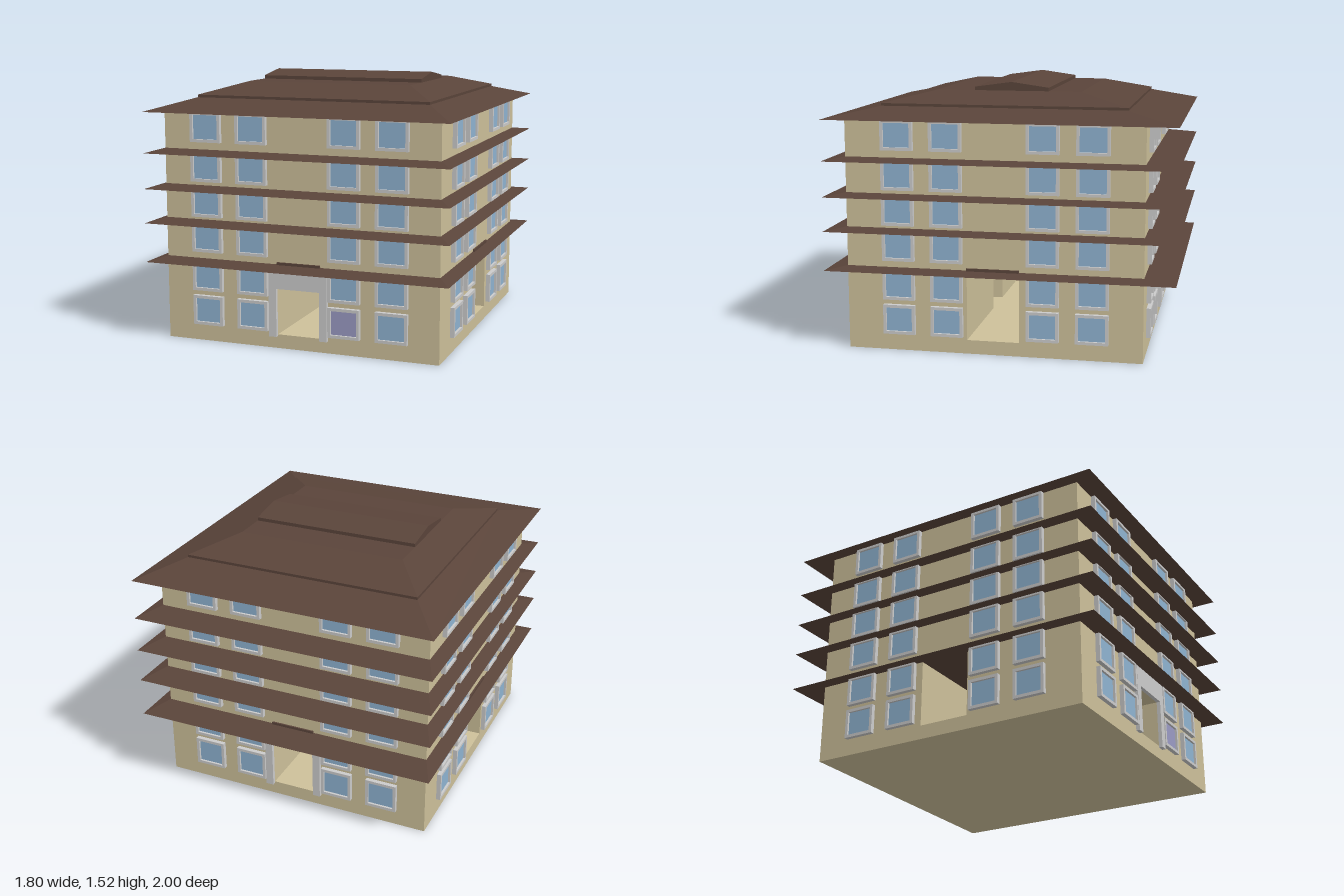
import * as THREE from 'three';

const mat = (color) => new THREE.MeshStandardMaterial({ color, flatShading: true });

export function createModel() {
  const root = new THREE.Group();
  const wall = mat(0xcdc09a), roof = mat(0x5a443a), glass = mat(0x8fb3d1);
  const tinted = mat(0x9a9ac4), grey = mat(0xcccccc);
  const X = 0.82, ZF = 0.88, ZB = -0.82; // wall planes

  const add = (name, geometry, material, parent = root) => {
    const mesh = new THREE.Mesh(geometry, material);
    mesh.name = name;
    parent.add(mesh);
    return mesh;
  };
  const box = (name, x0, x1, y0, y1, z0, z1, material) =>
    add(name, new THREE.BoxGeometry(x1 - x0, y1 - y0, z1 - z0), material)
      .position.set((x0 + x1) / 2, (y0 + y1) / 2, (z0 + z1) / 2);

  // Closed solid through stacked rectangles [halfWidth, zBack, zFront, y]
  const loft = (name, rings, material) => {
    const pts = [], index = [];
    rings.forEach(([x, zb, zf, y]) => pts.push(-x, y, zf, x, y, zf, x, y, zb, -x, y, zb));
    for (let r = 0; r < rings.length - 1; r++) {
      for (let i = 0; i < 4; i++) {
        const a = r * 4 + i, b = r * 4 + (i + 1) % 4;
        index.push(a, b, b + 4, a, b + 4, a + 4);
      }
    }
    const t = (rings.length - 1) * 4;
    index.push(0, 2, 1, 0, 3, 2, t, t + 1, t + 2, t, t + 2, t + 3);
    let g = new THREE.BufferGeometry();
    g.setAttribute('position', new THREE.Float32BufferAttribute(pts, 3));
    g.setIndex(index);
    g = g.toNonIndexed();
    g.computeVertexNormals();
    add(name, g, material);
  };

  // Ground storey: base and four corner blocks leave two crossing passages
  box('base', -X, X, 0, 0.08, ZB, ZF, wall);
  for (const [z0, z1] of [[0.18, ZF], [ZB, -0.12]]) {
    box('cornerBlock', -X, -0.13, 0.08, 0.475, z0, z1, wall);
    box('cornerBlock', 0.13, X, 0.08, 0.475, z0, z1, wall);
    box('passageLintel', -0.13, 0.13, 0.35, 0.475, z0, z1, wall);
  }
  box('upperStoreys', -X, X, 0.475, 1.335, ZB, ZF, wall);

  // Sloping eaves between storeys
  for (const y of [0.465, 0.692, 0.89, 1.095]) {
    loft('eave', [[0.9, -1, 1, y], [X, ZB, ZF, y + 0.022]], roof);
  }

  // Small caps over the entrances
  box('entranceCap', -0.13, 0.13, 0.47, 0.5, ZB - 0.01, ZF + 0.01, roof);
  box('sideEntranceCap', -X - 0.01, X + 0.01, 0.47, 0.5, -0.12, 0.18, roof);

  // Three-tier roof
  loft('lowerRoof', [[0.9, -1, 1, 1.33], [0.7, -0.71, 0.7, 1.395]], roof);
  loft('middleRoof', [[0.7, -0.71, 0.7, 1.39], [0.7, -0.71, 0.7, 1.41], [0.5, -0.42, 0.42, 1.475]], roof);
  const gable = new THREE.Shape([[-0.2, 1.47], [0.23, 1.47], [0.23, 1.495], [0.015, 1.525], [-0.2, 1.495]]
    .map(([x, y]) => new THREE.Vector2(x, y)));
  const ridge = new THREE.ExtrudeGeometry(gable, { depth: 1, bevelEnabled: false });
  ridge.translate(0, 0, -0.5).rotateY(Math.PI / 2);
  add('ridgeRoof', ridge, roof);

  // Window: grey frame with recessed pane, facing +z
  const rect = (P, w, h) => new P([[-w, -h], [w, -h], [w, h], [-w, h]].map(([x, y]) => new THREE.Vector2(x, y)));
  const frameShape = rect(THREE.Shape, 0.093, 0.086);
  frameShape.holes.push(rect(THREE.Path, 0.076, 0.069));
  const frameGeo = new THREE.ExtrudeGeometry(frameShape, { depth: 0.025, bevelEnabled: false });
  const paneGeo = new THREE.BoxGeometry(0.152, 0.138, 0.012);
  const addWindow = (parent, u, y, pane) => {
    const g = new THREE.Group();
    g.name = 'window';
    g.position.set(u, y, 0);
    add('windowFrame', frameGeo, grey, g);
    add('windowPane', paneGeo, pane, g).position.z = 0.006;
    parent.add(g);
  };

  // Portal surround around the front and back passage
  const portalShape = new THREE.Shape([[-0.175, 0.07], [-0.13, 0.07], [-0.13, 0.35], [0.13, 0.35],
    [0.13, 0.07], [0.175, 0.07], [0.175, 0.465], [-0.175, 0.465]].map(([x, y]) => new THREE.Vector2(x, y)));
  const portalGeo = new THREE.ExtrudeGeometry(portalShape, { depth: 0.022, bevelEnabled: false });

  const floors = [0.184, 0.386, 0.613, 0.817, 1.02, 1.246];
  const acrossX = [-0.557, -0.278, 0.273, 0.55];
  const acrossZ = [0.575, 0.295, -0.255, -0.535];
  const facades = [
    ['front', 0, 0, ZF, acrossX],
    ['back', Math.PI, 0, ZB, acrossX.map((x) => -x)],
    ['left', Math.PI / 2, X, 0, acrossZ.map((z) => -z)],
    ['right', -Math.PI / 2, -X, 0, acrossZ],
  ];
  for (const [side, turn, x, z, columns] of facades) {
    const facade = new THREE.Group();
    facade.name = side + 'Facade';
    facade.position.set(x, 0, z);
    facade.rotation.y = turn;
    floors.forEach((y, f) => columns.forEach((u, c) =>
      addWindow(facade, u, y, side === 'front' && f === 0 && c === 2 ? tinted : glass)));
    if (x === 0) add('portal', portalGeo, grey, facade);
    root.add(facade);
  }
  return root;
}
